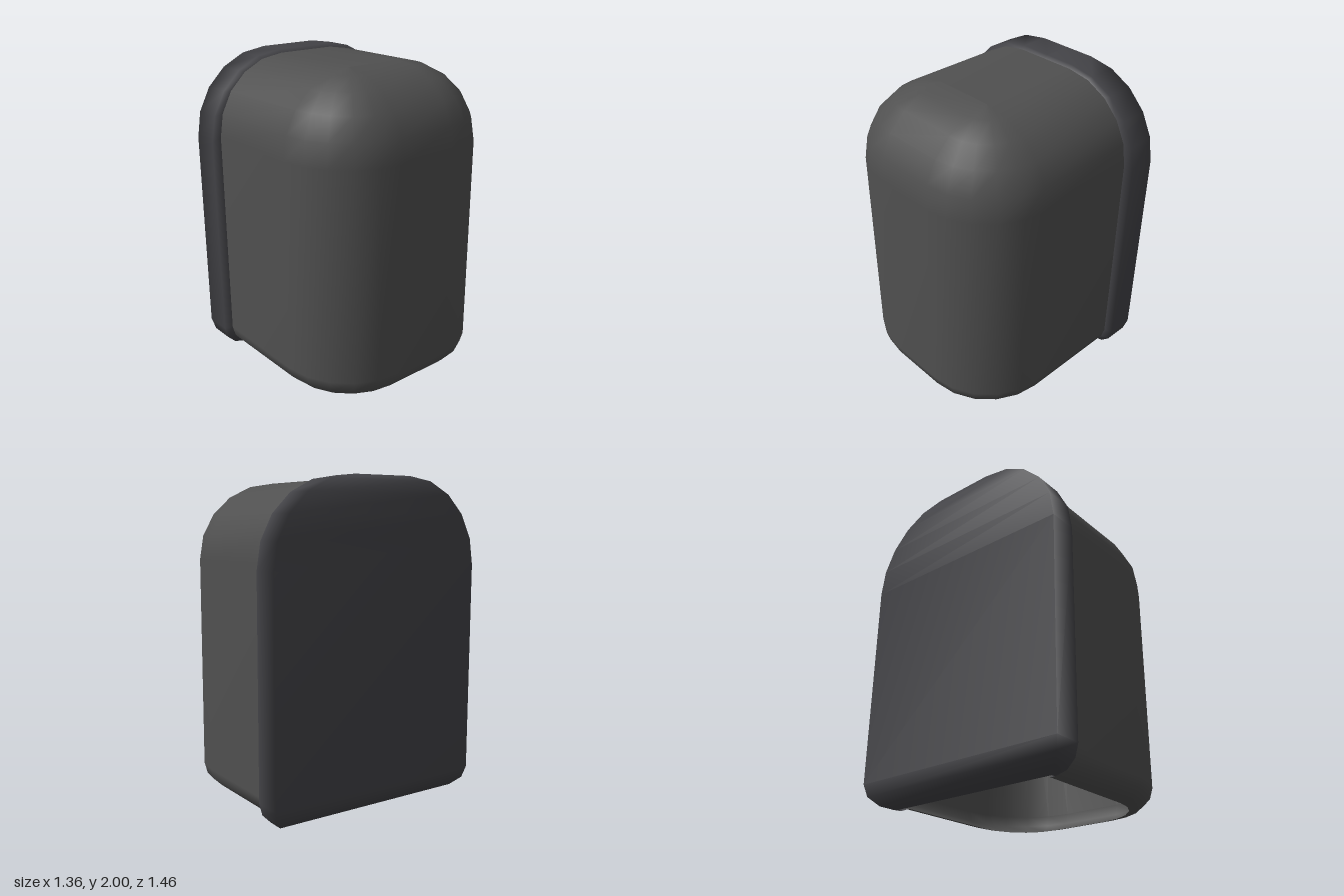
import * as THREE from 'three';

const FLAT = 0.2;        // half width of the flat centre strip on the top
const LIP = 0.15;        // how far the lower edge curls inward
const BODY = { r: 0.48, shoulder: 1.5, base: 0.01 };
const RIM = { r: 0.53, shoulder: 1.47, base: 0 };

// Levels from the open bottom edge, round the lip, up the walls, over the arch
function levels(part) {
  const rows = [];
  for (let i = 3; i >= 0; i--) {
    const a = (i / 3) * Math.PI / 2;
    const inset = LIP * (1 - Math.cos(a));
    rows.push({ y: LIP - (LIP - part.base) * Math.sin(a), r: part.r - inset, inset, flat: FLAT });
  }
  for (let i = 0; i <= 5; i++) {
    const a = (i / 5) * Math.PI / 2;
    rows.push({ y: part.shoulder + part.r * Math.sin(a), r: part.r * Math.cos(a), inset: 0, flat: FLAT });
  }
  rows.push({ ...rows[rows.length - 1], r: 0, flat: 0 }); // closes the top on the centre line
  return rows;
}

// Skin through rows of [x, y, z] points
function loft(name, rows, color) {
  const n = rows[0].length, index = [];
  for (let j = 0; j < rows.length - 1; j++) {
    for (let i = 0; i < n - 1; i++) {
      const a = j * n + i, b = a + 1, c = a + n, d = c + 1;
      index.push(a, c, b, b, c, d);
    }
  }
  const geometry = new THREE.BufferGeometry();
  geometry.setAttribute('position', new THREE.Float32BufferAttribute(rows.flat(2), 3));
  geometry.setIndex(index);
  geometry.computeVertexNormals();
  const mesh = new THREE.Mesh(geometry, new THREE.MeshStandardMaterial({ color, side: THREE.DoubleSide }));
  mesh.name = name;
  return mesh;
}

export function createModel() {
  const group = new THREE.Group();
  group.name = 'hood';
  const bodyLevels = levels(BODY), rimLevels = levels(RIM);

  // Hood body: U-shaped plan with round corners that shrink over the top
  const bodyRows = bodyLevels.map(({ y, r, flat }) => {
    const row = [[-0.48, y, -(flat + r)]];
    for (const side of [-1, 1]) {
      for (let i = 0; i <= 5; i++) {
        const a = ((side < 0 ? i - 5 : i) / 5) * Math.PI / 2;
        row.push([FLAT + r * Math.cos(a), y, side * flat + r * Math.sin(a)]);
      }
    }
    row.push([-0.48, y, flat + r]);
    return row;
  });
  group.add(loft('hoodBody', bodyRows, 0x505050));

  // Wider rim with a bevel down to the body and a closed back
  const rimRows = rimLevels.map(({ y, r, inset, flat }, j) => {
    const body = bodyLevels[j];
    const half = [
      [-0.48, body.y, body.flat + body.r],
      [-0.5, y, flat + r],
      [-0.68 + inset, y, flat + r],
    ];
    const mirrored = half.map(([px, py, pz]) => [px, py, -pz]).reverse();
    return [...half, ...mirrored];
  });
  group.add(loft('backRim', rimRows, 0x434347));

  return group;
}
